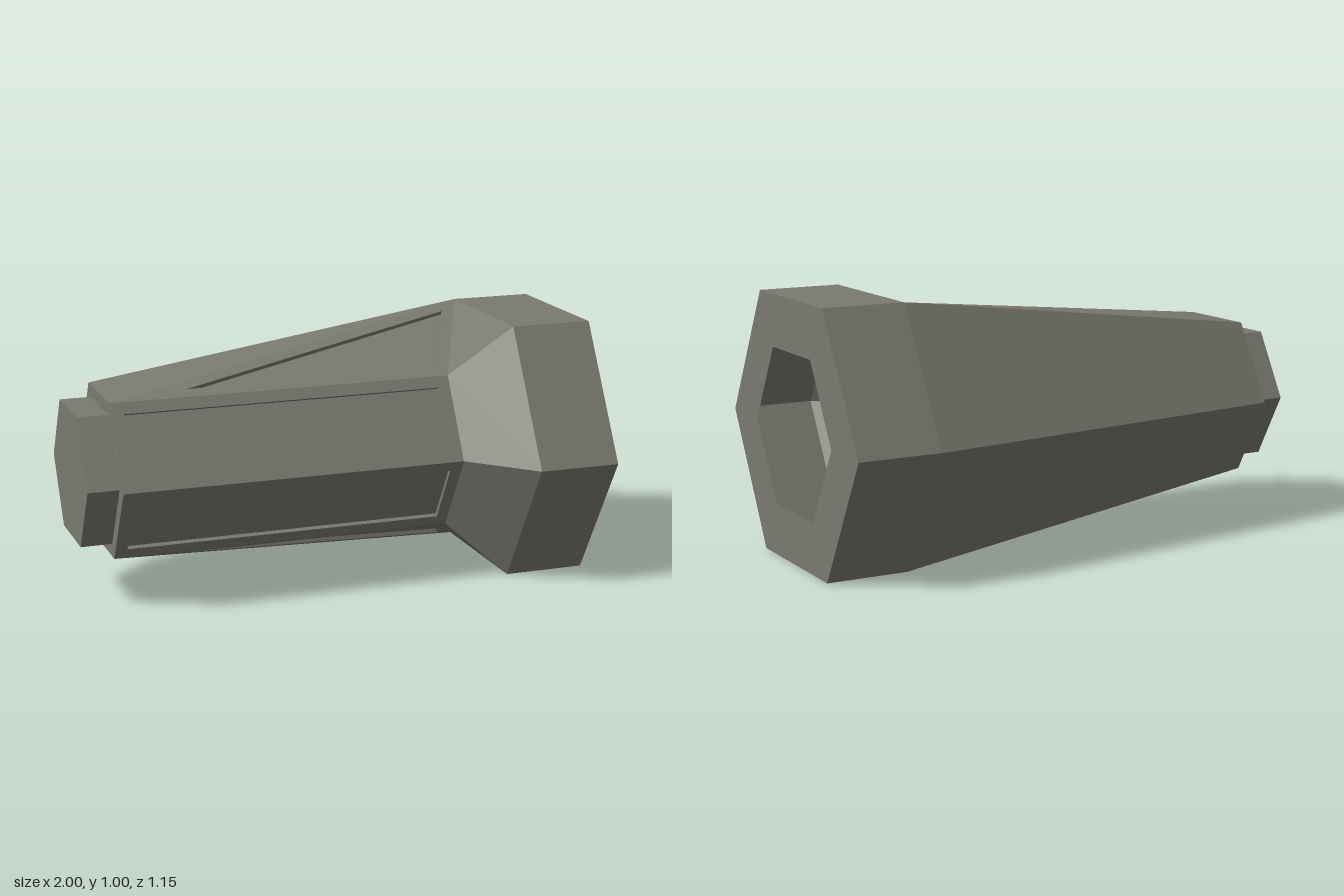
import * as THREE from 'three';

const CENTRE = new THREE.Vector3(0.9, 0.5, 0); // inside point, tells outward from inward
const R_COLLAR = 0.5774, R_BODY = 0.3464, R_STUB = 0.2887;
const X_END = 1, X_COLLAR = 0.68, X_FLARE = 0.46, X_BODY = -0.88, X_TIP = -1;

// corners of a flat-topped hexagon across the x axis, starting at the front corner
function hex(x, r) {
  return Array.from({ length: 6 }, (_, k) => {
    const a = (k * Math.PI) / 3;
    return new THREE.Vector3(x, 0.5 + r * Math.sin(a), r * Math.cos(a));
  });
}

function normalOf(p) {
  const a = p[1].clone().sub(p[0]);
  return a.cross(p[2].clone().sub(p[0])).normalize();
}

// order corners so that the face looks away from the inside
function outward(p) {
  const mid = p.reduce((s, v) => s.add(v), new THREE.Vector3()).divideScalar(p.length);
  return normalOf(p).dot(mid.sub(CENTRE)) < 0 ? [...p].reverse() : p;
}

// polygon with a sunken inner panel: rim, recess walls and floor
function sunken(corners, margin, depth) {
  const p = outward(corners), n = normalOf(p), count = p.length;
  const inner = p.map((v, i) => {
    const e1 = v.clone().sub(p[(i + count - 1) % count]).normalize();
    const e2 = p[(i + 1) % count].clone().sub(v).normalize();
    const sin = e1.clone().cross(e2).length();
    return v.clone().addScaledVector(e2.sub(e1), margin / sin);
  });
  const floor = inner.map((v) => v.clone().addScaledVector(n, -depth));
  const faces = [floor];
  for (let i = 0; i < count; i++) {
    const j = (i + 1) % count;
    faces.push([p[i], p[j], inner[j], inner[i]], [inner[i], inner[j], floor[j], floor[i]]);
  }
  return faces;
}

// quads between two hexagons, on the chosen sides
function band(a, b, sides = [0, 1, 2, 3, 4, 5]) {
  return sides.map((k) => {
    const j = (k + 1) % 6;
    return outward([a[k], a[j], b[j], b[k]]);
  });
}

export function createModel() {
  const group = new THREE.Group();
  const material = new THREE.MeshStandardMaterial({
    color: 0x7b7a70, flatShading: true, side: THREE.DoubleSide,
  });

  function add(name, faces) {
    const points = [];
    for (const f of faces) {
      for (let i = 1; i < f.length - 1; i++) points.push(f[0], f[i], f[i + 1]);
    }
    const geometry = new THREE.BufferGeometry().setFromPoints(points);
    geometry.computeVertexNormals();
    const mesh = new THREE.Mesh(geometry, material);
    mesh.name = name;
    group.add(mesh);
  }

  const end = hex(X_END, R_COLLAR), collar = hex(X_COLLAR, R_COLLAR);
  const flare = hex(X_FLARE, R_BODY), body = hex(X_BODY, R_BODY);
  const stub = hex(X_BODY, R_STUB), tip = hex(X_TIP, R_STUB);

  // wide collar with an open hexagonal mouth
  add('collar', band(collar, end));
  add('mouthRim', band(end, hex(X_END, R_BODY)));

  // tapering back and the flare from the straight front to the collar
  add('backWalls', band(body, collar, [2, 3]));
  add('frontFlare', band(flare, collar, [5, 0]));

  // straight front walls with sunken panels
  band(body, flare, [5, 0]).forEach((quad, i) => {
    add(i ? 'upperFrontPanel' : 'lowerFrontPanel', sunken(quad, 0.046, 0.016));
  });

  // top and bottom: taper, sunken triangle and flare
  for (const [side, f, b] of [['top', 1, 2], ['bottom', 5, 4]]) {
    add(side + 'Wall', [
      outward([body[f], body[b], collar[b]]),
      outward([flare[f], collar[f], collar[b]]),
    ]);
    add(side + 'Panel', sunken([body[f], flare[f], collar[b]], 0.048, 0.016));
  }

  // narrow stub at the small end
  add('stubShoulder', band(body, stub));
  add('stub', [...band(stub, tip), outward(tip)]);

  return group;
}
